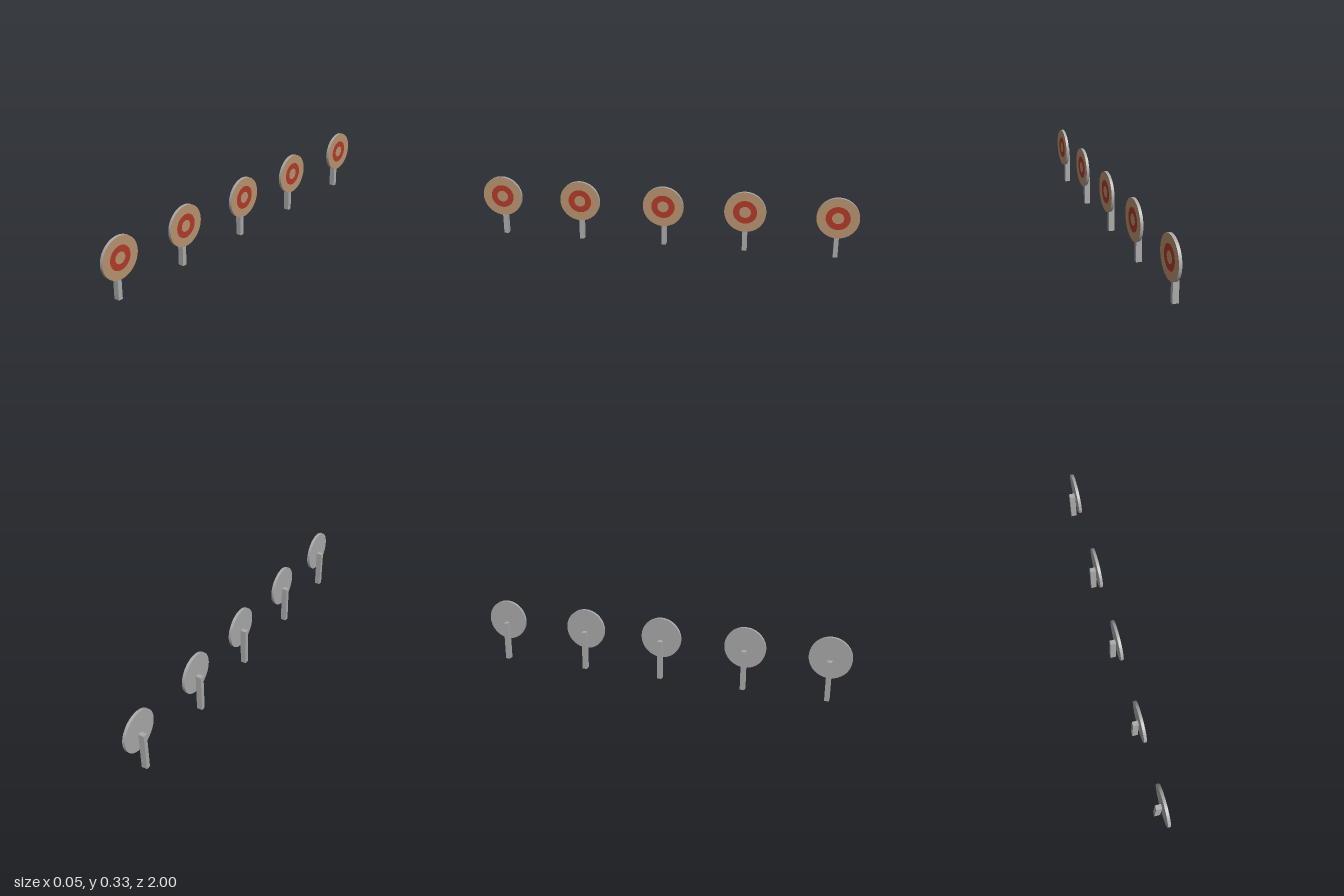
import * as THREE from 'three';

const material = (name, color) => {
  const m = new THREE.MeshStandardMaterial({ color });
  m.name = name;
  return m;
};

export function createModel() {
  const metal = material('grey metal', 0xaaaaaa);
  const tan = material('tan face', 0xb8936f);
  const red = material('red ring', 0xb03a28);

  const SEG = 48, R = 0.108, RED = 0.062, EYE = 0.03;
  const BACK = 0.0075, FRONT = 0.0228, CENTRE_Y = 0.221;

  // Disc body: rim and back only, since the painted rings close the front
  const rimGeo = new THREE.CylinderGeometry(R, R, FRONT - BACK, SEG, 1, true).rotateZ(-Math.PI / 2);
  const backGeo = new THREE.CircleGeometry(R, SEG).rotateY(-Math.PI / 2);

  // Painted face, from bullseye to outer band, facing +x
  const faceParts = [
    ['bullseye', new THREE.CircleGeometry(EYE, SEG), tan],
    ['redRing', new THREE.RingGeometry(EYE, RED, SEG), red],
    ['outerBand', new THREE.RingGeometry(RED, R, SEG), tan],
  ];
  faceParts.forEach(([, geo]) => geo.rotateY(Math.PI / 2));

  const postGeo = new THREE.BoxGeometry(0.0303, 0.209, 0.024);

  const add = (parent, name, geo, mat, x, y) => {
    const mesh = new THREE.Mesh(geo, mat);
    mesh.name = name;
    mesh.position.set(x, y, 0);
    parent.add(mesh);
  };

  const model = new THREE.Group();
  model.name = 'targetRow';

  // Unevenly spaced row of targets
  [0.892, 0.459, 0.008, -0.422, -0.892].forEach((z, i) => {
    const target = new THREE.Group();
    target.name = `target${i + 1}`;
    target.position.z = z;
    add(target, 'post', postGeo, metal, -0.0077, 0.1045);
    add(target, 'discRim', rimGeo, metal, (BACK + FRONT) / 2, CENTRE_Y);
    add(target, 'discBack', backGeo, metal, BACK, CENTRE_Y);
    for (const [name, geo, mat] of faceParts) add(target, name, geo, mat, FRONT, CENTRE_Y);
    model.add(target);
  });

  return model;
}
